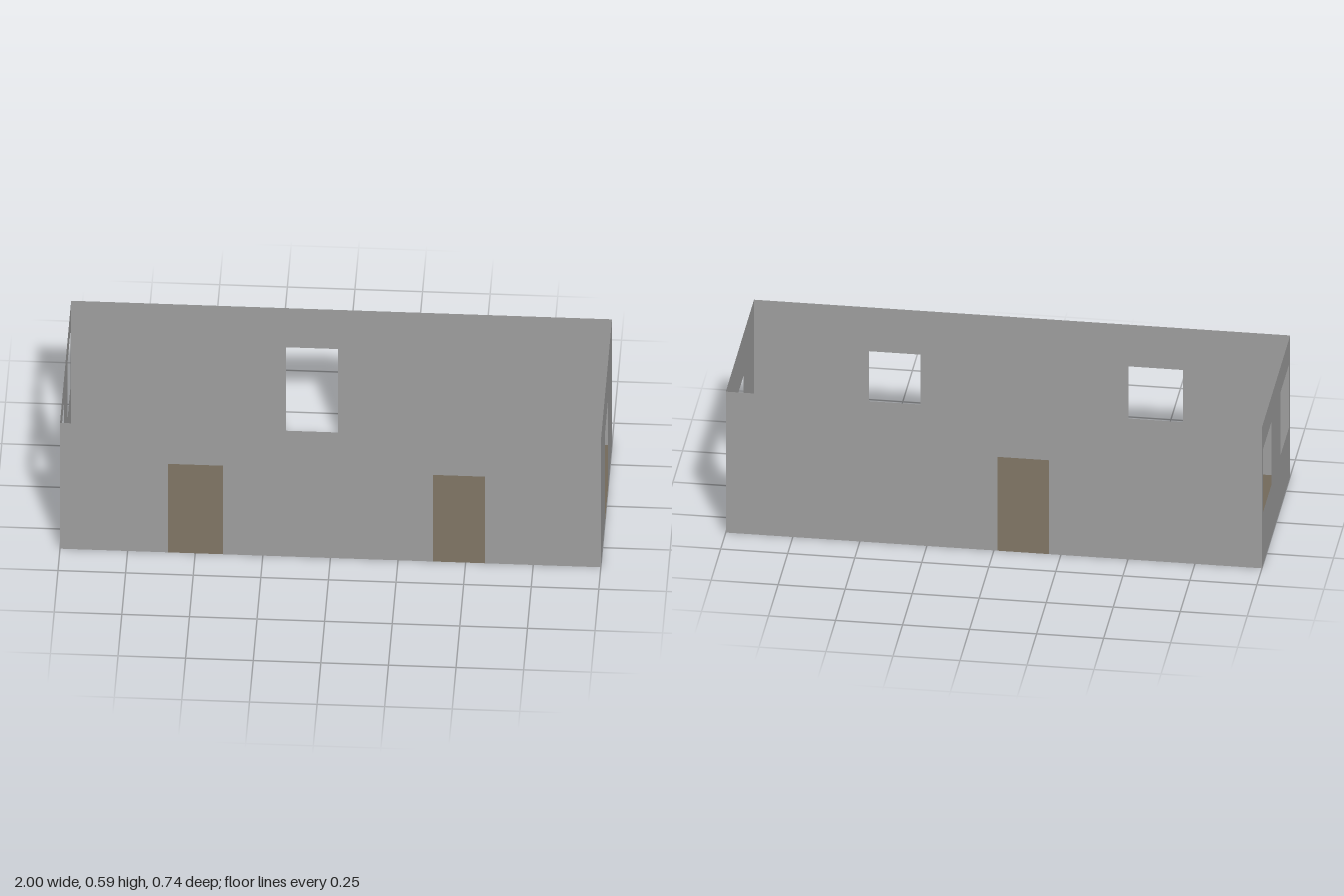
import * as THREE from 'three';

const HALF_LENGTH = 1, HALF_DEPTH = 0.368, HEIGHT = 0.588;

// Flat wall outline: doors are notches cut up from the floor, windows are holes.
// Doors are [left, right, top], ordered left to right; windows are [left, right, bottom, top].
function wallGeometry(half, doors, windows) {
  const shape = new THREE.Shape();
  shape.moveTo(-half, 0);
  for (const [left, right, top] of doors) {
    shape.lineTo(left, 0);
    shape.lineTo(left, top);
    shape.lineTo(right, top);
    shape.lineTo(right, 0);
  }
  shape.lineTo(half, 0);
  shape.lineTo(half, HEIGHT);
  shape.lineTo(-half, HEIGHT);
  shape.closePath();
  for (const [left, right, bottom, top] of windows) {
    const hole = new THREE.Path();
    hole.moveTo(left, bottom);
    hole.lineTo(left, top);
    hole.lineTo(right, top);
    hole.lineTo(right, bottom);
    hole.closePath();
    shape.holes.push(hole);
  }
  return new THREE.ShapeGeometry(shape);
}

export function createModel() {
  const model = new THREE.Group();
  model.name = 'openRoom';

  const wallGrey = new THREE.MeshStandardMaterial({ color: 0x9e9e9e, side: THREE.DoubleSide });
  wallGrey.name = 'wall grey';
  const floorBrown = new THREE.MeshStandardMaterial({ color: 0x72695a, side: THREE.DoubleSide });
  floorBrown.name = 'floor brown';

  // Each wall is drawn as seen from outside, then turned to face outwards
  function addWall(name, half, distance, turn, doors, windows = []) {
    const wall = new THREE.Mesh(wallGeometry(half, doors, windows), wallGrey);
    wall.name = name;
    wall.rotation.y = turn;
    wall.position.set(Math.sin(turn) * distance, 0, Math.cos(turn) * distance);
    model.add(wall);
  }

  addWall('frontWall', HALF_LENGTH, HALF_DEPTH, 0,
    [[-0.6, -0.397, 0.414], [0.38, 0.572, 0.405]]);
  addWall('backWall', HALF_LENGTH, HALF_DEPTH, Math.PI,
    [[0.013, 0.205, 0.405]]);
  addWall('doorEndWall', HALF_DEPTH, HALF_LENGTH, Math.PI / 2,
    [[-0.1, 0.102, 0.413]]);
  addWall('windowEndWall', HALF_DEPTH, HALF_LENGTH, -Math.PI / 2, [],
    [[-0.337, -0.122, 0.22, 0.483], [0.116, 0.338, 0.22, 0.483]]);

  // Floor slab face
  const floor = new THREE.Mesh(new THREE.PlaneGeometry(2 * HALF_LENGTH, 2 * HALF_DEPTH), floorBrown);
  floor.name = 'floor';
  floor.rotation.x = -Math.PI / 2;
  model.add(floor);

  return model;
}
